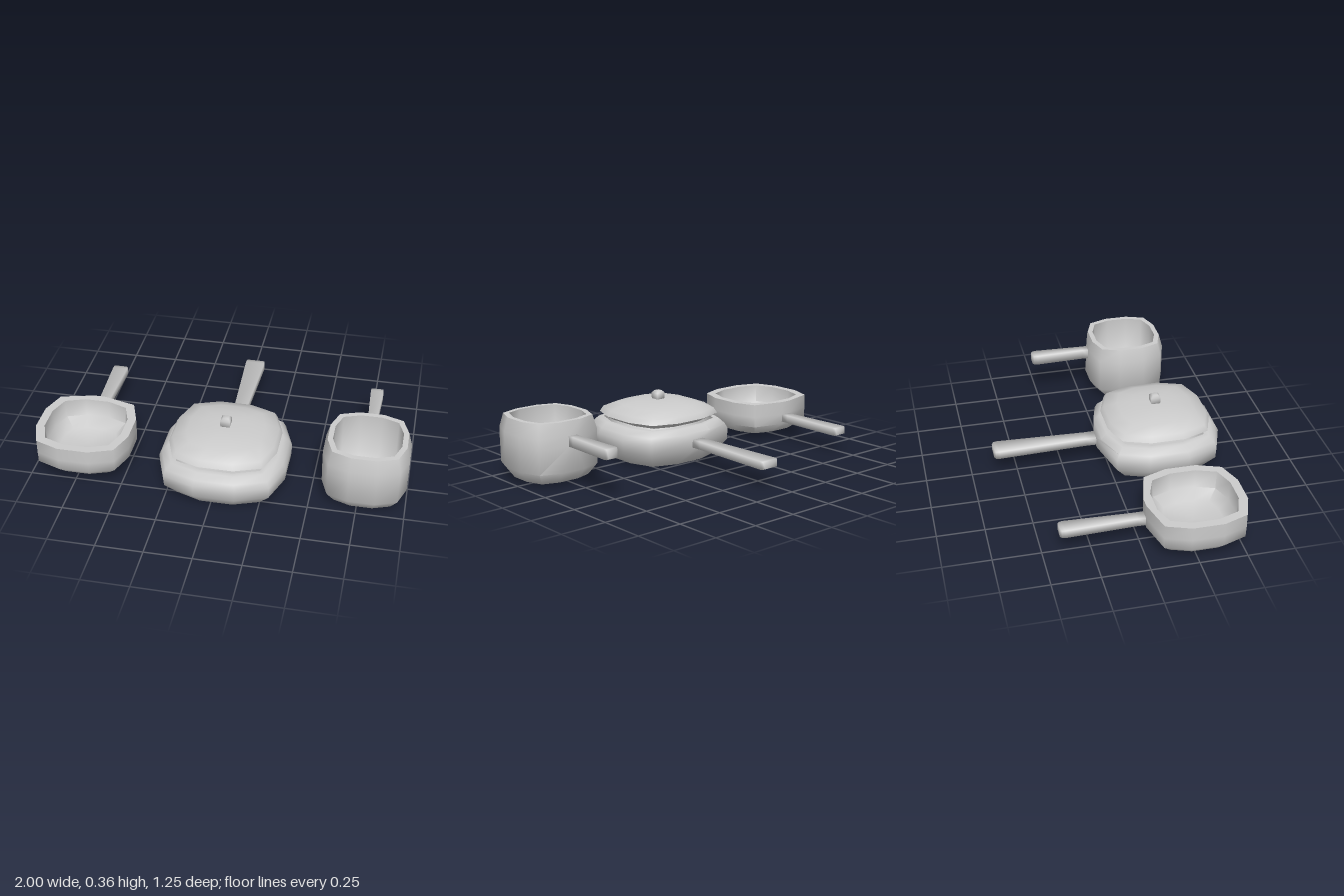
import * as THREE from 'three';
import { toCreasedNormals } from 'three/addons/utils/BufferGeometryUtils.js';

const material = new THREE.MeshStandardMaterial({ color: 0xcccccc, side: THREE.DoubleSide });

// Twelve-sided rounded square, counterclockwise seen from above
const OUTLINE = [[1, 0.32], [1, -0.32], [0.82, -0.82], [0.32, -1], [-0.32, -1], [-0.82, -0.82],
  [-1, -0.32], [-1, 0.32], [-0.82, 0.82], [-0.32, 1], [0.32, 1], [0.82, 0.82]];

// Ring at height y; backHalf narrows the rear edge to meet a handle
function roundRing(y, half, backHalf) {
  return OUTLINE.map(([x, z]) => {
    const narrowed = backHalf !== undefined && z === -1;
    return [narrowed ? Math.sign(x) * backHalf : x * half, y, z * half];
  });
}

function rectRing(y, w, d) {
  return [[w, y, d], [w, y, -d], [-w, y, -d], [-w, y, d]];
}

// Skin over a stack of equal-length rings, closed at both ends
function loft(rings, crease) {
  const n = rings[0].length;
  const positions = rings.flat(2);
  const index = [];
  for (let r = 0; r < rings.length - 1; r++) {
    for (let i = 0; i < n; i++) {
      const a = r * n + i, b = r * n + (i + 1) % n;
      index.push(a, b, b + n, a, b + n, a + n);
    }
  }
  const first = positions.length / 3, last = first + 1, top = (rings.length - 1) * n;
  positions.push(0, rings[0][0][1], 0, 0, rings[rings.length - 1][0][1], 0);
  for (let i = 0; i < n; i++) {
    const j = (i + 1) % n;
    index.push(first, j, i, last, top + i, top + j);
  }
  const geometry = new THREE.BufferGeometry();
  geometry.setAttribute('position', new THREE.Float32BufferAttribute(positions, 3));
  geometry.setIndex(index);
  return toCreasedNormals(geometry, crease);
}

function addMesh(group, name, geometry) {
  const mesh = new THREE.Mesh(geometry, material);
  mesh.name = name;
  group.add(mesh);
  return mesh;
}

// Vessel: outer wall upward, over the rim, inner wall down to the floor
function makePan({ name, x, z, outer, inner, handle }) {
  const pan = new THREE.Group();
  pan.name = name;
  pan.position.set(x, 0, z);
  const rings = [
    ...outer.map(([y, half, joins]) => roundRing(y, half, joins ? handle.base : undefined)),
    ...inner.map(([y, half]) => roundRing(y, half)),
  ];
  addMesh(pan, 'bowl', loft(rings, 1.1));

  // Flat handle that widens toward a bevelled end
  const { start, end, base, tip, y, thick } = handle;
  const length = start - end;
  const grip = loft([
    rectRing(-0.02, base, thick),
    rectRing(length * 0.1, base * 0.95, thick),
    rectRing(length - 0.03, tip, thick),
    rectRing(length - 0.01, tip * 0.95, thick * 0.95),
    rectRing(length, tip * 0.75, thick * 0.75),
  ], 1.7);
  grip.rotateX(-Math.PI / 2);
  addMesh(pan, 'handle', grip).position.set(0, y, start - z);
  return pan;
}

export function createModel() {
  const model = new THREE.Group();
  model.name = 'cookwareSet';

  // Shallow saucepan
  model.add(makePan({
    name: 'saucepan', x: -0.743, z: 0.288,
    outer: [[0.035, 0.205], [0.085, 0.255, true], [0.145, 0.257, true], [0.22, 0.257, true]],
    inner: [[0.22, 0.212], [0.12, 0.205], [0.075, 0.15]],
    handle: { start: 0.033, end: -0.41, base: 0.03, tip: 0.042, y: 0.122, thick: 0.022 },
  }));

  // Wide frying pan
  const fryingPan = makePan({
    name: 'fryingPan', x: 0.028, z: 0.285,
    outer: [[0, 0.27], [0.08, 0.336, true], [0.145, 0.34, true], [0.175, 0.325], [0.205, 0.295]],
    inner: [[0.205, 0.268], [0.1, 0.27], [0.045, 0.2]],
    handle: { start: -0.052, end: -0.625, base: 0.037, tip: 0.055, y: 0.122, thick: 0.022 },
  });
  model.add(fryingPan);

  // Domed lid with a small knob
  const lid = new THREE.Group();
  lid.name = 'lid';
  fryingPan.add(lid);
  addMesh(lid, 'lidDome', loft([
    roundRing(0.2, 0.22), roundRing(0.212, 0.25), roundRing(0.235, 0.288),
    roundRing(0.265, 0.27), roundRing(0.292, 0.2), roundRing(0.308, 0.12), roundRing(0.312, 0.05),
  ], 1.3));
  addMesh(lid, 'knob', loft([
    rectRing(0.3, 0.02, 0.02), rectRing(0.32, 0.026, 0.026),
    rectRing(0.347, 0.026, 0.026), rectRing(0.36, 0.015, 0.015),
  ], 1.7));

  // Tall pot
  model.add(makePan({
    name: 'pot', x: 0.776, z: 0.288,
    outer: [[0.02, 0.18], [0.08, 0.222], [0.215, 0.224, true], [0.27, 0.224, true], [0.345, 0.204]],
    inner: [[0.345, 0.177], [0.12, 0.177], [0.07, 0.13]],
    handle: { start: 0.065, end: -0.275, base: 0.026, tip: 0.035, y: 0.243, thick: 0.028 },
  }));

  return model;
}
